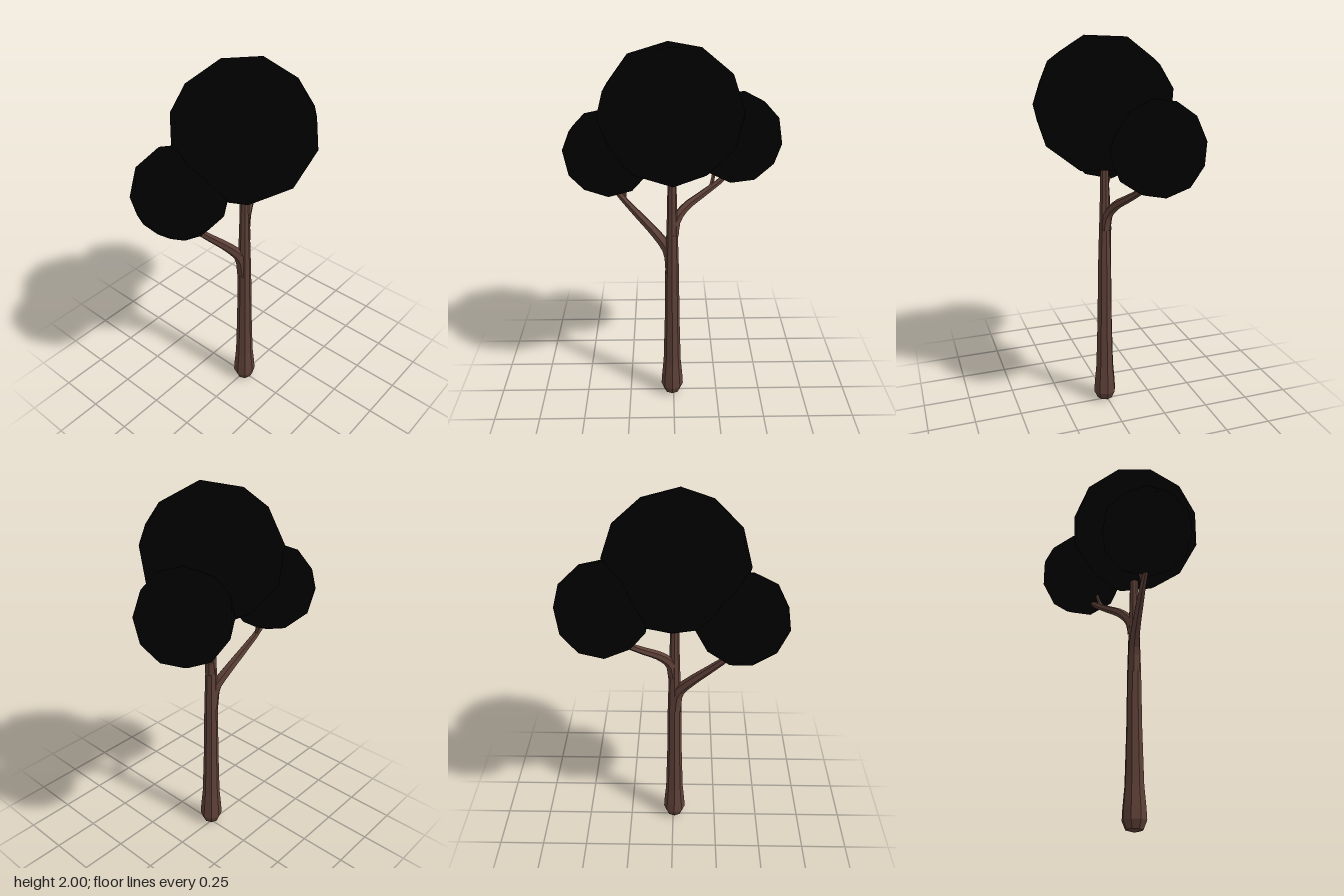
import * as THREE from 'three';

export function createModel() {
  const tree = new THREE.Group();
  tree.name = 'tree';

  const bark = new THREE.MeshStandardMaterial({ color: 0x5d4037, flatShading: true });
  bark.name = 'brown bark';
  const leaves = new THREE.MeshStandardMaterial({ color: 0x000000, flatShading: true });
  leaves.name = 'black leaves';

  const add = (name, geometry, material) => {
    const mesh = new THREE.Mesh(geometry, material);
    mesh.name = name;
    tree.add(mesh);
    return mesh;
  };

  // Tapering limb: a tube whose rings shrink evenly from r0 to r1
  const limb = (name, points, r0, r1, segments, sides) => {
    const curve = new THREE.CatmullRomCurve3(points.map((p) => new THREE.Vector3(...p)));
    const geometry = new THREE.TubeGeometry(curve, segments, 1, sides);
    const pos = geometry.attributes.position;
    const v = new THREE.Vector3();
    for (let i = 0; i < pos.count; i++) {
      const t = Math.floor(i / (sides + 1)) / segments;
      const centre = curve.getPointAt(t);
      v.fromBufferAttribute(pos, i).sub(centre);
      v.multiplyScalar(r0 + (r1 - r0) * t).add(centre);
      pos.setXYZ(i, v.x, v.y, v.z);
    }
    geometry.computeVertexNormals();
    add(name, geometry, bark);
  };

  // Faceted leaf ball, turned and fitted between two opposite corners
  const leafBall = (name, min, max, turn) => {
    const geometry = new THREE.IcosahedronGeometry(1, 1);
    geometry.rotateX(turn[0]).rotateY(turn[1]).rotateZ(turn[2]);
    geometry.computeBoundingBox();
    const from = geometry.boundingBox.getSize(new THREE.Vector3());
    const mid = geometry.boundingBox.getCenter(new THREE.Vector3());
    geometry.translate(-mid.x, -mid.y, -mid.z);
    geometry.scale((max[0] - min[0]) / from.x, (max[1] - min[1]) / from.y, (max[2] - min[2]) / from.z);
    geometry.translate((min[0] + max[0]) / 2, (min[1] + max[1]) / 2, (min[2] + max[2]) / 2);
    add(name, geometry, leaves);
  };

  // Trunk with a flared foot
  const profile = [
    [0, 0], [0.044, 0.012], [0.062, 0.055], [0.059, 0.11], [0.049, 0.22],
    [0.041, 0.5], [0.037, 0.8], [0.032, 0.97], [0.027, 1.12], [0.023, 1.3], [0.018, 1.45], [0, 1.46],
  ].map(([r, y]) => new THREE.Vector2(r, y));
  const trunk = add('trunk', new THREE.LatheGeometry(profile, 8), bark);
  trunk.position.set(-0.008, 0, 0.012);

  // Main branches, curving out of the trunk
  limb('rightBranch', [
    [-0.012, 0.8, 0.01], [-0.028, 0.92, 0], [-0.085, 1.0, -0.025],
    [-0.19, 1.11, -0.06], [-0.27, 1.195, -0.085], [-0.36, 1.31, -0.1],
  ], 0.036, 0.011, 14, 6);
  limb('leftBranch', [
    [0, 1.02, 0.01], [0.014, 1.1, 0], [0.06, 1.16, -0.025],
    [0.16, 1.225, -0.065], [0.25, 1.285, -0.095], [0.34, 1.37, -0.12],
  ], 0.03, 0.011, 14, 6);

  // Twigs forking off the branches
  limb('rightTwig', [[-0.258, 1.175, -0.08], [-0.255, 1.21, -0.09], [-0.245, 1.3, -0.11]], 0.011, 0.008, 4, 5);
  limb('leftTwig', [[0.185, 1.238, -0.07], [0.2, 1.27, -0.085], [0.215, 1.36, -0.11]], 0.012, 0.008, 4, 5);

  // Crown
  leafBall('mainCrown', [-0.375, 1.33, -0.34], [0.345, 2.0, 0.37], [0.3, 0.5, 0.2]);
  leafBall('rightCrown', [-0.56, 1.21, -0.335], [-0.105, 1.66, 0.125], [0.7, 0.2, 0.5]);
  leafBall('leftCrown', [0.1, 1.27, -0.37], [0.56, 1.73, 0.09], [0.2, 0.9, 0.35]);

  return tree;
}
